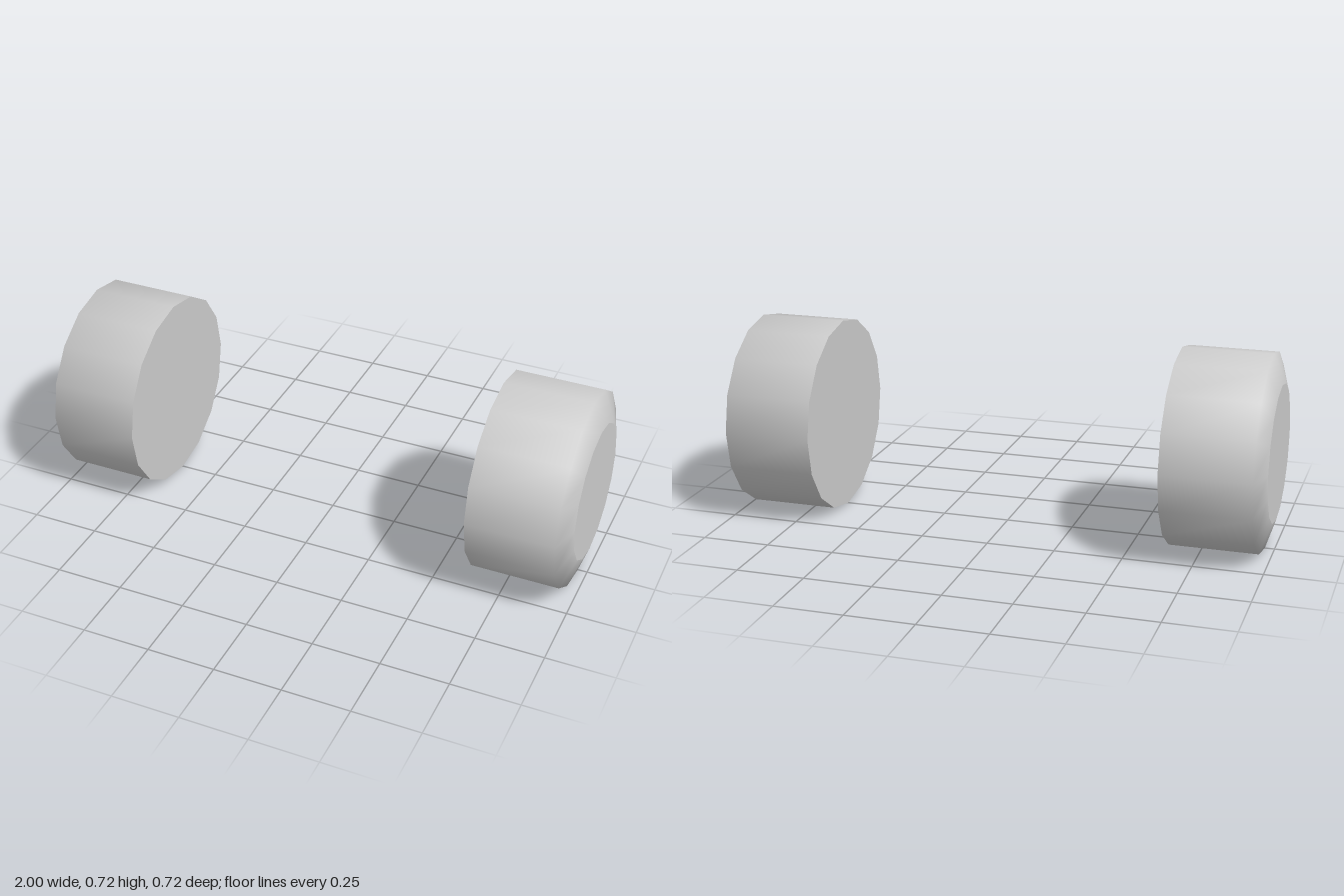
import * as THREE from 'three';

const SIDES = 16;
const RADIUS = 0.36;
const HUB_RADIUS = 0.25;
const INNER_X = 0.642;
const RIM_X = 0.965;
const OUTER_X = 1;

// One wheel on the +x side, its bevelled face pointing outwards
function createWheel(name, material) {
  const wheel = new THREE.Group();
  wheel.name = name;

  const add = (part, geometry) => {
    const mesh = new THREE.Mesh(geometry, material);
    mesh.name = part;
    wheel.add(mesh);
  };

  // Tread and bevel, smoothly joined
  const profile = [
    [RADIUS, INNER_X],
    [RADIUS, RIM_X],
    [HUB_RADIUS, OUTER_X],
  ].map(([r, x]) => new THREE.Vector2(r, x));
  add('tread', new THREE.LatheGeometry(profile, SIDES).rotateZ(-Math.PI / 2));

  // Flat faces
  add('outerFace', new THREE.CircleGeometry(HUB_RADIUS, SIDES)
    .rotateY(Math.PI / 2).translate(OUTER_X, 0, 0));
  add('innerFace', new THREE.CircleGeometry(RADIUS, SIDES)
    .rotateY(-Math.PI / 2).translate(INNER_X, 0, 0));

  wheel.position.y = RADIUS;
  return wheel;
}

export function createModel() {
  const model = new THREE.Group();
  model.name = 'wheelPair';

  const grey = new THREE.MeshStandardMaterial({ color: 0xcccccc });
  grey.name = 'light grey';

  const leftWheel = createWheel('leftWheel', grey);
  const rightWheel = createWheel('rightWheel', grey);
  rightWheel.rotation.y = Math.PI;
  model.add(leftWheel, rightWheel);
  return model;
}
